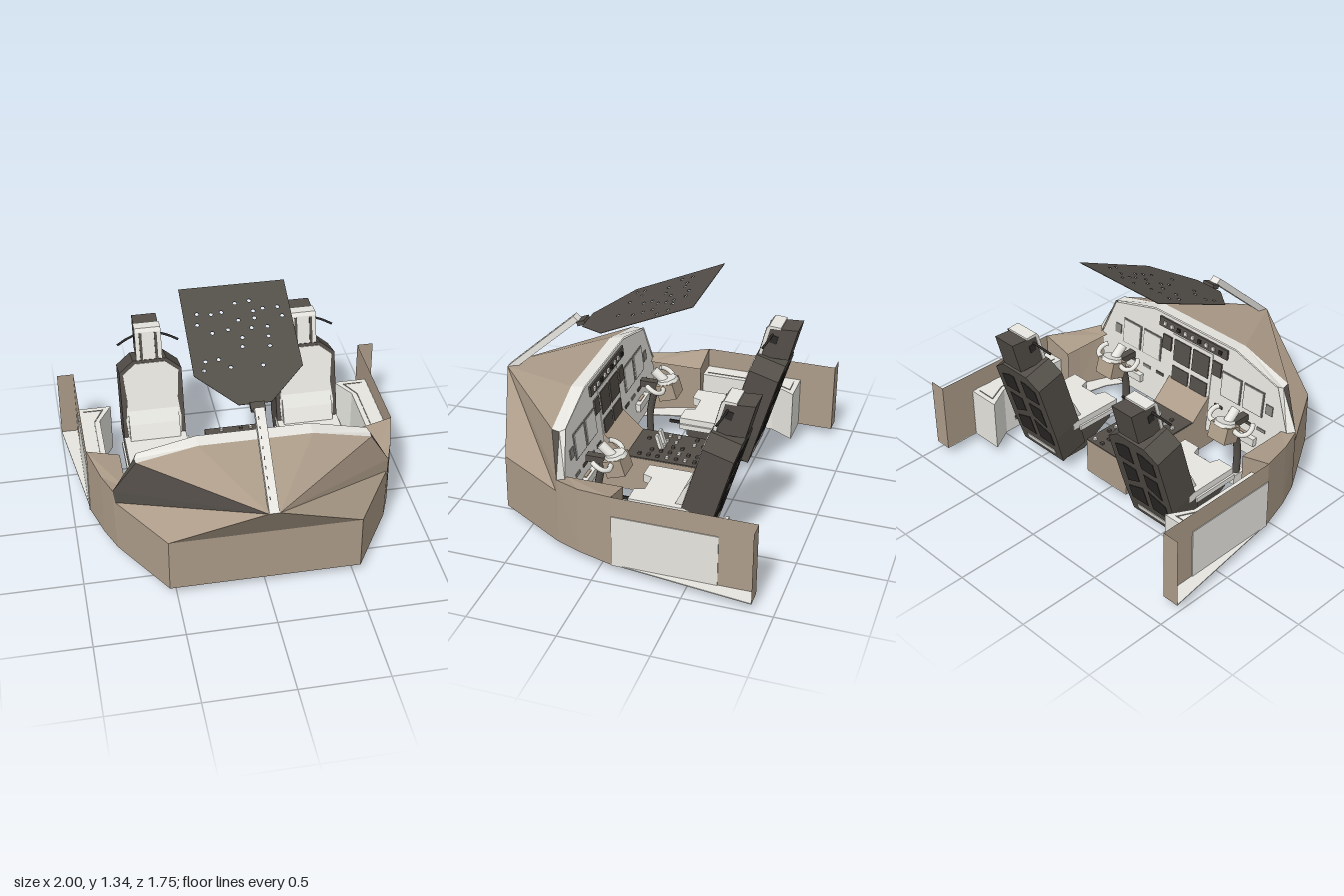
import * as THREE from 'three';

const mat = (name, color) => new THREE.MeshStandardMaterial({ name, color, side: THREE.DoubleSide });

export function createModel() {
  const root = new THREE.Group();
  const tan = mat('tan shell', 0xad9c89), light = mat('light grey trim', 0xe6e5df);
  const dark = mat('dark brown grey', 0x534e48), black = mat('black detail', 0x2c2a28);
  const grey = mat('mid grey', 0x8a8882);

  let seed = 7;
  const rnd = () => (seed = (seed * 16807) % 2147483647) / 2147483647;

  const add = (parent, name, geo, m) => {
    const mesh = new THREE.Mesh(geo, m);
    mesh.name = name;
    parent.add(mesh);
    return mesh;
  };
  const group = (parent, name, x = 0, y = 0, z = 0, rx = 0) => {
    const g = new THREE.Group();
    g.name = name;
    g.position.set(x, y, z);
    g.rotation.x = rx;
    parent.add(g);
    return g;
  };
  const box = (parent, name, m, w, h, d, x, y, z, rx = 0) => {
    const mesh = add(parent, name, new THREE.BoxGeometry(w, h, d), m);
    mesh.position.set(x, y, z);
    mesh.rotation.x = rx;
    return mesh;
  };
  // flat faces fanned from lists of corners
  const sheet = (parent, name, m, faces) => {
    const p = [];
    for (const f of faces)
      for (let i = 1; i < f.length - 1; i++) p.push(...f[0], ...f[i], ...f[i + 1]);
    const g = new THREE.BufferGeometry();
    g.setAttribute('position', new THREE.Float32BufferAttribute(p, 3));
    g.computeVertexNormals();
    return add(parent, name, g, m);
  };
  const shape = pts => new THREE.Shape(pts.map(p => new THREE.Vector2(...p)));
  // half outline mirrored in x
  const mirrored = half => shape([...half, ...half.map(([x, y]) => [-x, y]).reverse()]);
  const slab = (parent, name, m, s, depth, z) => add(parent, name,
    new THREE.ExtrudeGeometry(s, { depth, bevelEnabled: false, curveSegments: 4 }).translate(0, 0, z), m);
  // side profile of (z, y) points, extruded across x
  const profile = (parent, name, m, pts, w) => {
    const g = new THREE.ExtrudeGeometry(shape(pts), { depth: w, bevelEnabled: false });
    g.rotateY(-Math.PI / 2).translate(w / 2, 0, 0);
    return add(parent, name, g, m);
  };
  // plan outline of (x, z) points, extruded up from y0
  const plan = (parent, name, m, pts, y0, h) => {
    const g = new THREE.ExtrudeGeometry(shape(pts), { depth: h, bevelEnabled: false });
    g.rotateX(Math.PI / 2).translate(0, y0 + h, 0);
    return add(parent, name, g, m);
  };
  const rod = (parent, name, m, pts, r) => add(parent, name, new THREE.TubeGeometry(
    new THREE.CatmullRomCurve3(pts.map(p => new THREE.Vector3(...p))), 14, r, 8), m);

  // nose shell and side walls
  const shell = group(root, 'shell');
  const V = s => ({
    N: [0.03 * s, 0.66, 0.875], A: [0.54 * s, 0.375, 0.68], B: [0.78 * s, 0.375, 0.28],
    C: [0.79 * s, 0.45, 0.27], D: [0.66 * s, 0.68, 0.34], E: [0.32 * s, 0.765, 0.36],
    E2: [0.32 * s, 0.775, 0.28], D2: [0.65 * s, 0.69, 0.265], C2: [0.755 * s, 0.43, 0.235], M: [0.665 * s, 0.675, 0.295]
  });
  const R = V(1), L = V(-1);
  const low = p => [p[0], 0.05, p[2]];
  sheet(shell, 'noseTop', tan, [[R.N, R.E, L.E, L.N]]);
  sheet(shell, 'noseFront', tan, [[L.N, L.A, R.A, R.N], [L.A, low(L.A), low(R.A), R.A]]);
  sheet(shell, 'glareshieldEdge', light, [[R.E, R.E2, L.E2, L.E]]);
  for (const s of [1, -1]) {
    const v = V(s);
    const w0 = [0.9 * s, 0.48, -0.08], w1 = [0.84 * s, 0.45, 0.13];
    const b0 = [0.9 * s, 0.48, -0.88], b1 = [s, 0.48, -0.88];
    sheet(shell, 'noseSide', tan, [[v.N, v.E, v.D], [v.N, v.B, v.A], [v.A, v.B, low(v.B), low(v.A)]]);
    sheet(shell, 'noseQuarter', s > 0 ? tan : dark, [[v.N, v.D, v.C], [v.N, v.C, v.B]]);
    sheet(shell, 'panelSideTrim', light, [[v.E, v.E2, v.D2, v.M, v.D], [v.M, v.D2, v.C2, v.C]]);
    sheet(shell, 'panelCorner', dark, [[v.D, v.M, v.C]]);
    sheet(shell, 'sideWall', tan, [
      [v.C, w1, low(w1), low(v.B), v.B], [w1, w0, low(w0), low(w1)],
      [w0, b0, low(b0), low(w0)], [b0, b1, low(b1), low(b0)]
    ]);
    const i0 = [0.71 * s, 0.43, -0.08], i1 = [0.71 * s, 0.43, 0.24];
    sheet(shell, 'sideLedge', tan, [[w0, w1, i1, i0], [w1, v.C, i1], [w0, i0, low(i0), low(w0)]]);

    // side console with an outlined top
    const con = group(root, 'sideConsole');
    const X = pts => pts.map(([x, z]) => [x * s, z]);
    plan(con, 'floorStrip', light, X([[1, -0.88], [0.9, -0.88], [0.9, -0.67], [0.78, -0.53], [0.78, -0.08],
      [0.71, 0.22], [0.46, 0.66], [0.54, 0.675], [0.775, 0.28], [0.835, 0.13], [0.898, -0.08]]), 0.05, 0.006);
    plan(con, 'consoleBody', light, X([[0.898, -0.67], [0.7, -0.67], [0.78, -0.53], [0.78, -0.08], [0.898, -0.08]]), 0.05, 0.31);
    plan(con, 'consoleLine', grey, X([[0.87, -0.64], [0.75, -0.64], [0.81, -0.52], [0.81, -0.1], [0.816, -0.1],
      [0.816, -0.523], [0.761, -0.634], [0.87, -0.634]]), 0.36, 0.003);
    box(con, 'consoleOuterPanel', light, 0.006, 0.31, 0.59, 0.902 * s, 0.205, -0.375);
    for (let i = 0; i < 5; i++) box(con, 'consoleSlot', dark, 0.004, 0.03, 0.02, 0.779 * s, 0.12, -0.45 + i * 0.08);
  }

  // instrument panel, built upright and leaned forward
  const panel = group(root, 'instrumentPanel', 0, 0.25, 0.22, 0.115);
  slab(panel, 'panelBoard', light, mirrored([[0.32, 0.52], [0.65, 0.43], [0.75, 0.18], [0.7, -0.08]]), 0.025, 0);
  const plate = (name, m, w, h, x, y, d = 0.006) => box(panel, name, m, w, h, d, x, y, -d / 2);
  plate('modePanel', dark, 0.54, 0.06, 0, 0.47, 0.012);
  for (let i = 0; i < 9; i++) plate('modeKnob', i % 3 ? light : black, 0.022, 0.022, -0.22 + i * 0.055, 0.47, 0.022);
  plate('centreBoard', light, 0.32, 0.42, 0, 0.215, 0.004);
  for (const s of [1, -1]) {
    plate('centreScreen', dark, 0.13, 0.14, 0.075 * s, 0.33, 0.01);
    plate('lowerScreen', dark, 0.13, 0.13, 0.075 * s, 0.16, 0.01);
    plate('standbyScreen', dark, 0.07, 0.09, 0.2 * s, 0.35, 0.01);
    for (const x of [0.32, 0.49]) {
      plate('screenFrame', grey, 0.15, 0.16, x * s, 0.28);
      plate('flightScreen', light, 0.138, 0.148, x * s, 0.28, 0.01);
    }
    for (let i = 0; i < 4; i++) plate('gauge', i % 2 ? grey : dark, 0.06, 0.018, (0.24 + i * 0.11) * s, 0.12);
    plate('sideGauge', grey, 0.05, 0.06, 0.61 * s, 0.27);
  }

  // centre pedestal
  const ped = group(root, 'pedestal');
  profile(ped, 'pedestalBody', tan, [[-0.44, 0.055], [0.67, 0.055], [0.67, 0.36], [0.24, 0.4], [0.1, 0.27], [-0.44, 0.27]], 0.32);
  box(ped, 'pedestalBase', light, 0.318, 0.006, 0.72, 0, 0.053, -0.08);
  box(ped, 'pedestalTop', dark, 0.318, 0.008, 0.54, 0, 0.274, -0.17);
  for (let i = 0; i < 5; i++)
    for (let j = 0; j < 9; j++)
      if (rnd() > 0.35) box(ped, 'pedestalKnob', rnd() > 0.6 ? light : dark, 0.018, 0.014, 0.018, -0.12 + i * 0.06, 0.284, -0.41 + j * 0.055);
  for (const x of [-0.03, 0.03]) box(ped, 'thrustLever', light, 0.03, 0.1, 0.02, x, 0.32, -0.06, 0.3);

  // overhead panel with holes and switches
  const over = group(root, 'overheadPanel', -0.008, 1.018, 0.38, -1.147);
  const oShape = mirrored([[0.09, 0], [0.3, 0.208], [0.3, 0.78]]);
  for (let i = 0; i < 7; i++)
    for (let j = 0; j < 9; j++) {
      const x = -0.25 + i * 0.078 + rnd() * 0.03, y = 0.23 + j * 0.06 + rnd() * 0.015, pick = rnd();
      if (pick > 0.65) {
        oShape.holes.push(new THREE.Path().absarc(x, y, 0.011, 0, Math.PI * 2, true));
      } else if (pick > 0.1) {
        box(over, 'overheadSwitch', black, 0.028, 0.016, 0.012, x, y, -0.004);
      }
    }
  slab(over, 'overheadBoard', dark, oShape, 0.003, 0);

  // windscreen post
  const post = group(root, 'windscreenPost');
  profile(post, 'postBeam', light, [[0.875, 0.66], [0.82, 0.66], [0.425, 1.02], [0.455, 1.045]], 0.055);
  box(post, 'postBracket', dark, 0.08, 0.025, 0.05, 0, 1.015, 0.405, 0.4);
  for (let i = 0; i < 9; i++) box(post, 'postRivet', dark, 0.005, 0.018, 0.004, -0.012, 0.716 + i * 0.0365, 0.813 - i * 0.0398, -0.83);

  for (const s of [1, -1]) {
    // pilot seat
    const seat = group(root, 'seat', 0.465 * s, 0, 0);
    profile(seat, 'seatBase', dark, [[-0.12, 0.2], [-0.33, 0.08], [-0.5, 0.08], [-0.54, 0.27], [-0.12, 0.27]], 0.32);
    plan(seat, 'seatCushion', light, [[-0.185, -0.43], [0.185, -0.43], [0.185, -0.085], [0.08, -0.085], [0.06, -0.14],
      [-0.06, -0.14], [-0.08, -0.085], [-0.185, -0.085]], 0.27, 0.05);
    box(seat, 'seatFoot', light, 0.05, 0.012, 0.18, 0, 0.046, -0.33, 0.06);

    // reclined back with bevelled shoulders and a flush cushion
    const back = group(seat, 'seatBack', 0, 0.13, -0.334, -0.28);
    slab(back, 'backShell', dark, mirrored([[0.17, 0], [0.185, 0.2], [0.185, 0.6], [0.1, 0.668]]), 0.18, -0.18);
    slab(back, 'backCushion', light, mirrored([[0.155, 0.18], [0.165, 0.3], [0.15, 0.42], [0.165, 0.59], [0.09, 0.65]]), 0.006, 0);
    profile(back, 'lumbarPad', light, [[0, 0.16], [0.045, 0.18], [0.03, 0.28], [0.006, 0.36], [0, 0.36]], 0.3);
    for (const t of [1, -1]) {
      slab(back, 'backRecess', black, shape([[0.02 * t, 0.12], [0.14 * t, 0.12], [0.14 * t, 0.22], [0.02 * t, 0.27]]), 0.004, -0.183);
      slab(back, 'backRecess', black, shape([[0.03 * t, 0.32], [0.13 * t, 0.27], [0.13 * t, 0.42], [0.03 * t, 0.42]]), 0.004, -0.183);
      slab(back, 'backRecess', black, shape([[0.03 * t, 0.47], [0.14 * t, 0.47], [0.14 * t, 0.57], [0.07 * t, 0.6], [0.03 * t, 0.6]]), 0.004, -0.183);
    }
    box(back, 'backFootGap', light, 0.24, 0.035, 0.004, 0, 0.05, -0.182);

    // headrest
    profile(seat, 'headPost', dark, [[-0.54, 0.75], [-0.70, 0.75], [-0.75, 0.945], [-0.585, 0.935]], 0.145);
    profile(seat, 'headPad', light, [[-0.522, 0.765], [-0.542, 0.765], [-0.587, 0.938], [-0.65, 0.938], [-0.65, 0.95], [-0.58, 0.955], [-0.565, 0.935]], 0.155);
    for (const t of [1, -1]) {
      box(seat, 'headPadSeam', dark, 0.016, 0.165, 0.008, 0.045 * t, 0.85, -0.543, -0.245);
      box(seat, 'headPostDetail', black, 0.006, 0.05, 0.04, 0.073 * t, 0.87, -0.61, -0.25);
      rod(seat, 'headLever', black, [[0.07 * t, 0.9, -0.6], [0.12 * t, 0.885, -0.59], [0.18 * t, 0.86, -0.57]], 0.007);
      box(seat, 'seatRail', black, 0.01, 0.02, 0.18, 0.2 * t, 0.06, 0.01);
      box(seat, 'railStub', black, 0.012, 0.02, 0.012, 0.2 * t, 0.043, 0.01);
      box(seat, 'cushionRail', light, 0.012, 0.03, 0.3, 0.195 * t, 0.27, -0.24);
    }

    // control yoke and column
    const yoke = group(root, 'controlYoke', 0.46 * s, 0, 0);
    box(yoke, 'columnFoot', light, 0.055, 0.06, 0.1, 0, 0.03, 0.155);
    rod(yoke, 'column', dark, [[0, 0.05, 0.155], [0, 0.22, 0.16], [0, 0.43, 0.12]], 0.022);
    box(yoke, 'columnBoot', light, 0.17, 0.05, 0.08, 0, 0.28, 0.235);
    box(yoke, 'bootInset', tan, 0.08, 0.006, 0.05, 0, 0.307, 0.235);
    box(yoke, 'yokeArm', dark, 0.045, 0.04, 0.14, 0, 0.42, 0.15);
    box(yoke, 'yokeHub', tan, 0.13, 0.1, 0.11, 0, 0.405, 0.04, 0.3);
    const cap = add(yoke, 'yokeHubCap', new THREE.CylinderGeometry(0.06, 0.068, 0.024, 8).rotateY(Math.PI / 8), light);
    cap.position.set(0, 0.461, 0.05);
    cap.rotation.x = 0.3;
    const barrel = add(yoke, 'yokeBarrel', new THREE.CylinderGeometry(0.028, 0.028, 0.1, 14), light);
    barrel.position.set(0, 0.48, 0.1);
    barrel.rotation.x = 0.85;
    for (const t of [1, -1])
      rod(yoke, 'yokeHorn', light, [[0.05 * t, 0.43, 0.06], [0.11 * t, 0.43, 0.05], [0.143 * t, 0.44, 0.075],
        [0.143 * t, 0.46, 0.115], [0.128 * t, 0.468, 0.138]], 0.015);
  }
  return root;
}
